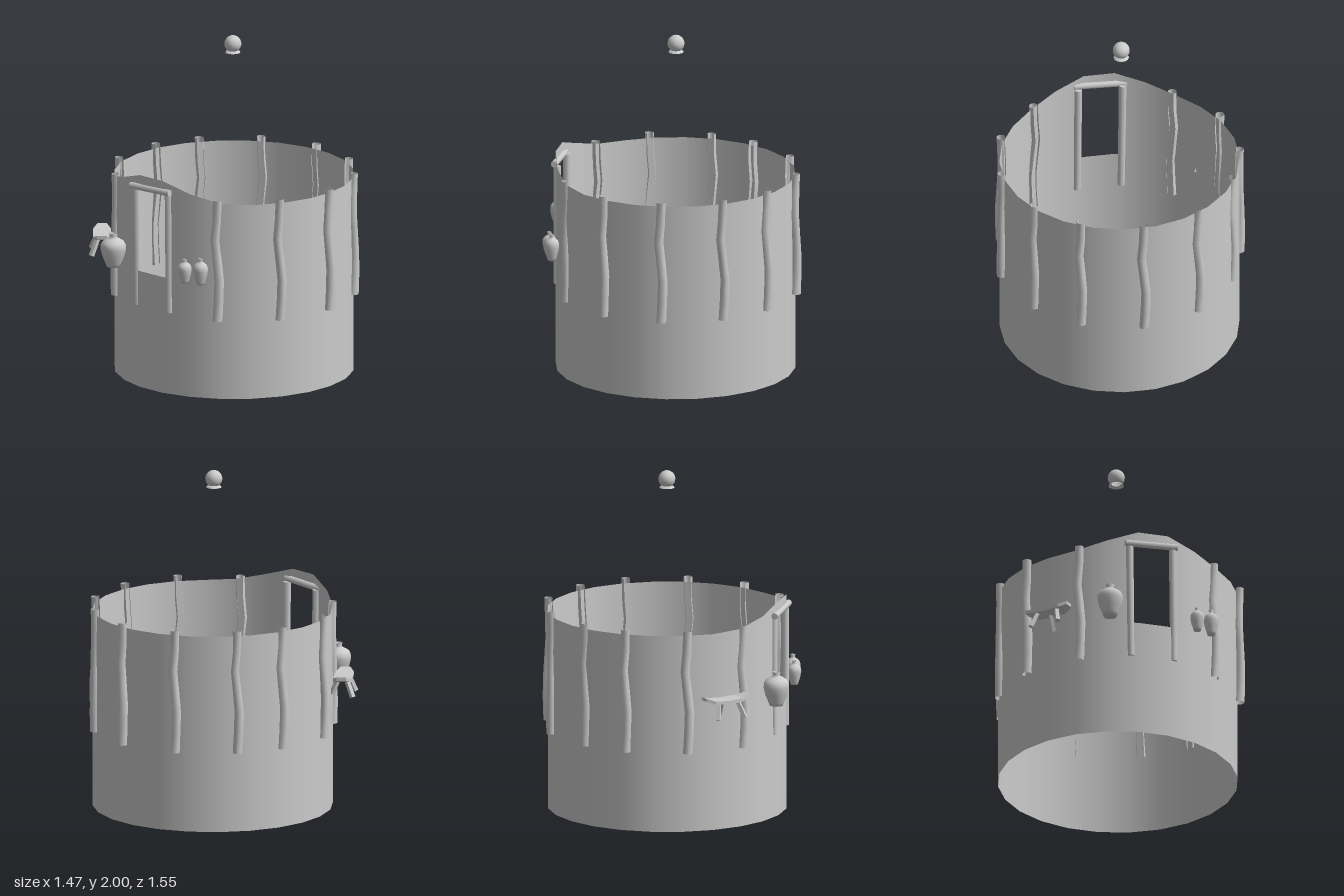
import * as THREE from 'three';

const CX = -0.005, CZ = -0.035, RAD = Math.PI / 180;
const smooth = new THREE.MeshStandardMaterial({ color: 0xcccccc, side: THREE.DoubleSide });
const faceted = new THREE.MeshStandardMaterial({ color: 0xcccccc, side: THREE.DoubleSide, flatShading: true });

function add(parent, name, geometry, material = smooth) {
  const mesh = new THREE.Mesh(geometry, material);
  mesh.name = name;
  parent.add(mesh);
  return mesh;
}

// Straight rod between two points
function rod(parent, name, a, b, r0, r1, sides, material) {
  const from = new THREE.Vector3(...a), to = new THREE.Vector3(...b);
  const dir = to.clone().sub(from);
  const mesh = add(parent, name, new THREE.CylinderGeometry(r1, r0, dir.length(), sides, 3), material);
  mesh.position.copy(from).add(to).multiplyScalar(0.5);
  mesh.quaternion.setFromUnitVectors(new THREE.Vector3(0, 1, 0), dir.normalize());
  return mesh;
}

// Round 24-sided wall, raised over the doorway
function wallGeometry() {
  const R = 0.7, STEP = 15, DOOR = 10, SILL = 0.7, HEAD = 1.2;
  const angles = [-DOOR, DOOR];
  for (let i = 0; i <= 24; i++) angles.push(-172.5 + i * STEP);
  angles.sort((a, b) => a - b);
  const rim = (deg) => {
    const a = Math.abs(deg);
    if (a <= 7.5) return 1.28;
    if (a <= 22.5) return 1.28 - (a - 7.5) / 15 * 0.055;
    if (a <= 37.5) return 1.225 - (a - 22.5) / 15 * 0.045;
    return a <= 52.5 ? 1.18 - (a - 37.5) / 15 * 0.01 : 1.17;
  };
  const pos = [], nor = [], idx = [];
  const vertex = (deg, y) => {
    const offset = deg - Math.round(deg / STEP) * STEP;
    const r = R * Math.cos(7.5 * RAD) / Math.cos(offset * RAD);
    const s = Math.sin(deg * RAD), c = Math.cos(deg * RAD);
    pos.push(CX + s * r, y, CZ + c * r);
    nor.push(s, 0, c);
  };
  const panel = (a, b, ya0, ya1, yb0, yb1) => {
    const n = pos.length / 3;
    vertex(a, ya0); vertex(b, yb0); vertex(b, yb1); vertex(a, ya1);
    idx.push(n, n + 1, n + 2, n, n + 2, n + 3);
  };
  for (let i = 0; i < angles.length - 1; i++) {
    const a = angles[i], b = angles[i + 1];
    if (Math.abs((a + b) / 2) < DOOR) {
      panel(a, b, 0, SILL, 0, SILL);
      panel(a, b, HEAD, rim(a), HEAD, rim(b));
    } else panel(a, b, 0, rim(a), 0, rim(b));
  }
  const g = new THREE.BufferGeometry();
  g.setAttribute('position', new THREE.Float32BufferAttribute(pos, 3));
  g.setAttribute('normal', new THREE.Float32BufferAttribute(nor, 3));
  g.setIndex(idx);
  return g;
}

// Crooked half-round post, open on the side against the wall
function postGeometry() {
  const sway = [0, -0.002, -0.013, 0.0, 0.012, 0.008, 0.002];
  const g = new THREE.CylinderGeometry(0.026, 0.029, 0.73, 6, 6, true, -135 * RAD, 270 * RAD);
  const p = g.attributes.position;
  for (let i = 0; i < p.count; i++) {
    const level = Math.round((0.365 - p.getY(i)) / 0.73 * 6);
    p.setX(i, p.getX(i) + sway[level]);
    p.setZ(i, p.getZ(i) - 0.005 * Math.sin(level));
  }
  g.computeVertexNormals();
  return g;
}

// Jar with unit height and unit belly radius, scaled per jar
function jarGeometry() {
  const profile = [[0, 0], [0.52, 0], [0.62, 0.1], [0.86, 0.32], [1, 0.54], [0.98, 0.66], [0.84, 0.76],
    [0.5, 0.84], [0.31, 0.87], [0.27, 0.93], [0.34, 1], [0.25, 1], [0.2, 0.9]];
  return new THREE.LatheGeometry(profile.map(([x, y]) => new THREE.Vector2(x, y)), 14);
}

// Three-legged bench with narrow, upturned ends
function buildBench() {
  const bench = new THREE.Group();
  bench.name = 'bench';
  const seat = new THREE.BoxGeometry(4, 0.02, 2, 4, 1, 1);
  const p = seat.attributes.position;
  const along = [0, 0.09, 0.138], half = [0.054, 0.052, 0.028], lift = [0, 0.005, 0.023];
  for (let i = 0; i < p.count; i++) {
    const x = p.getX(i), k = Math.round(Math.abs(x));
    p.setXYZ(i, Math.sign(x) * along[k], p.getY(i) + 0.783 + lift[k], p.getZ(i) * half[k]);
  }
  add(bench, 'benchSeat', seat, faceted);
  for (const [x, z] of [[-0.08, 0.062], [0.097, 0.062], [0.0, -0.067]])
    rod(bench, 'benchLeg', [x, 0.685, z], [x * 0.7, 0.782, z * 0.4], 0.017, 0.015, 4, faceted);
  bench.position.set(-0.585, 0, 0.47);
  bench.rotation.y = -0.805;
  return bench;
}

export function createModel() {
  const model = new THREE.Group();
  model.name = 'roundHut';
  add(model, 'wall', wallGeometry());

  // Posts around the wall
  const postShape = postGeometry();
  const posts = [[-0.025, -0.745], [0.33, -0.65], [0.57, -0.44], [0.702, -0.1], [0.645, 0.255], [0.405, 0.53],
    [-0.415, 0.53], [-0.65, 0.26], [-0.702, -0.1], [-0.61, -0.367], [-0.367, -0.637]];
  for (const [x, z] of posts) {
    const post = add(model, 'wallPost', postShape);
    post.position.set(x, 0.835, z);
    post.rotation.y = Math.atan2(x - CX, z - CZ);
  }

  // Door frame
  rod(model, 'doorPostRight', [-0.133, 0.49, 0.642], [-0.142, 1.2, 0.642], 0.021, 0.023, 8);
  rod(model, 'doorPostLeft', [0.126, 0.49, 0.642], [0.12, 1.2, 0.642], 0.021, 0.023, 8);
  rod(model, 'lintel', [-0.172, 1.204, 0.656], [0.144, 1.216, 0.656], 0.02, 0.02, 8);

  // Jars
  const jarShape = jarGeometry();
  for (const [x, z, r, h] of [[-0.277, 0.695, 0.075, 0.2], [0.265, 0.658, 0.041, 0.142], [0.36, 0.624, 0.044, 0.157]]) {
    const jar = add(model, 'jar', jarShape);
    jar.position.set(x, 0.7, z);
    jar.scale.set(r, h, r);
  }

  model.add(buildBench());

  // Ball on a flared collar, floating above the middle
  const finial = [[0.045, 1.898], [0.04, 1.905], [0.028, 1.912]];
  for (let a = -55; a <= 90; a += 14.5)
    finial.push([Math.max(0, 0.05 * Math.cos(a * RAD)), 1.95 + 0.05 * Math.sin(a * RAD)]);
  const ball = add(model, 'finial', new THREE.LatheGeometry(finial.map(([x, y]) => new THREE.Vector2(x, y)), 16));
  ball.position.set(-0.015, 0, -0.035);
  return model;
}
